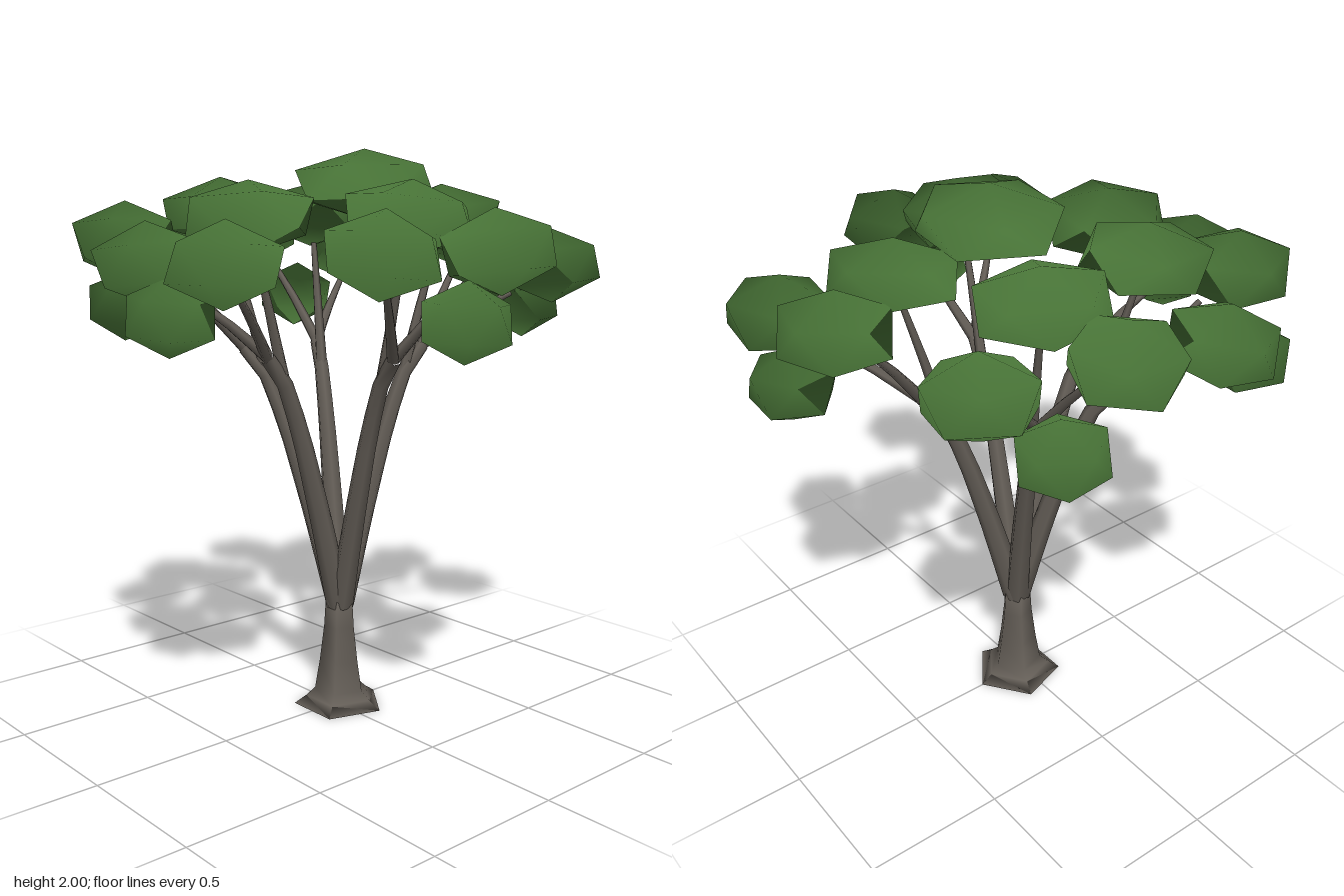
import * as THREE from 'three';
import { mergeVertices } from 'three/addons/utils/BufferGeometryUtils.js';

const bark = new THREE.MeshStandardMaterial({ name: 'bark', color: 0x645e57 });
const leaf = new THREE.MeshStandardMaterial({ name: 'leaf', color: 0x477236 });

const canopyCentre = new THREE.Vector3(0, 1.35, 0);

let seed = 7;
function rand() {
  seed = (seed * 16807) % 2147483647;
  return seed / 2147483647;
}

function addMesh(parent, name, geometry, material) {
  const mesh = new THREE.Mesh(geometry, material);
  mesh.name = name;
  parent.add(mesh);
  return mesh;
}

// Tube that narrows from r0 to r1 along a path with fairly straight stretches
function taperedTube(points, r0, r1, segments, sides) {
  const curve = new THREE.CatmullRomCurve3(points, false, 'catmullrom', 0.25);
  const geo = new THREE.TubeGeometry(curve, segments, 1, sides);
  const pos = geo.attributes.position;
  const v = new THREE.Vector3();
  for (let i = 0; i <= segments; i++) {
    const t = i / segments;
    const centre = curve.getPointAt(t);
    const r = r0 + (r1 - r0) * t;
    for (let j = 0; j <= sides; j++) {
      const k = i * (sides + 1) + j;
      v.fromBufferAttribute(pos, k).sub(centre).multiplyScalar(r).add(centre);
      pos.setXYZ(k, v.x, v.y, v.z);
    }
  }
  return geo;
}

// Flattened icosahedron whose normals fan out from the middle of the canopy
function leafClump(centre, r, h) {
  let geo = new THREE.IcosahedronGeometry(1, 0);
  geo.deleteAttribute('normal');
  geo.deleteAttribute('uv');
  geo = mergeVertices(geo, 1e-3);
  geo.rotateZ(Math.atan(2 / (1 + Math.sqrt(5))));
  geo.rotateY(rand() * Math.PI * 2);
  geo.scale(r, h, r);
  geo.rotateX((rand() - 0.5) * 0.24);
  geo.rotateZ((rand() - 0.5) * 0.24);
  geo.computeVertexNormals();
  geo.translate(centre.x, centre.y, centre.z);
  const pos = geo.attributes.position;
  const nor = geo.attributes.normal;
  const p = new THREE.Vector3();
  const n = new THREE.Vector3();
  for (let i = 0; i < pos.count; i++) {
    p.fromBufferAttribute(pos, i).sub(canopyCentre).normalize();
    n.fromBufferAttribute(nor, i).multiplyScalar(0.25).addScaledVector(p, 0.75).normalize();
    nor.setXYZ(i, n.x, n.y, n.z);
  }
  return geo;
}

// Clump centres of each limb: inner, two outer, low
const limbs = {
  backLimb: [[0.08, 1.77, -0.44], [-0.04, 1.7, -0.72], [0.38, 1.6, -0.69], [0.18, 1.45, -0.77]],
  backRightLimb: [[-0.39, 1.78, -0.22], [-0.53, 1.64, -0.55], [-0.72, 1.71, -0.18], [-0.69, 1.46, -0.38]],
  frontRightLimb: [[-0.33, 1.79, 0.24], [-0.67, 1.615, 0.26], [-0.4, 1.69, 0.59], [-0.57, 1.46, 0.49]],
  frontLimb: [[0.04, 1.77, 0.4], [-0.08, 1.625, 0.7], [0.26, 1.63, 0.66], [0.09, 1.47, 0.74]],
  leftLimb: [[0.42, 1.77, 0.06], [0.69, 1.665, -0.06], [0.61, 1.66, 0.35], [0.73, 1.46, 0.12]],
};

// Size of the clumps by their place on the limb
const clumpKinds = [
  { name: 'innerClump', r: 0.234, h: 0.118 },
  { name: 'outerClump', r: 0.198, h: 0.135 },
  { name: 'outerClump', r: 0.198, h: 0.135 },
  { name: 'lowClump', r: 0.157, h: 0.127 },
];

// Height of a limb's bends and how far out each lies towards the fork
const bends = [[0.38, 0.02], [0.7, 0.27], [1.02, 0.55], [1.22, 0.78], [1.31, 1]];

function buildLimb(name, centres) {
  const limb = new THREE.Group();
  limb.name = name;
  const clumps = centres.map((c) => new THREE.Vector3(...c));

  // Main branch, ending in a fork below the inner clump
  const path = bends.map(([y, out]) =>
    new THREE.Vector3(clumps[0].x * 0.82 * out, y, clumps[0].z * 0.82 * out - 0.02 * (1 - out)));
  const fork = path[4];
  addMesh(limb, 'branch', taperedTube(path, 0.046, 0.025, 8, 6), bark);

  clumps.forEach((centre, i) => {
    const { name: clumpName, r, h } = clumpKinds[i];
    addMesh(limb, clumpName, leafClump(centre, r, h), leaf);
    if (clumpName === 'lowClump') return;

    // Twig into the clump
    const start = i === 0 ? path[3] : fork;
    const end = centre.clone().lerp(fork, 0.3).setY(centre.y - 0.1);
    const mid = start.clone().lerp(end, 0.5);
    mid.y += 0.01;
    addMesh(limb, 'twig', taperedTube([start, mid, end], 0.022, 0.011, 4, 5), bark);
  });
  return limb;
}

export function createModel() {
  const tree = new THREE.Group();
  tree.name = 'tree';

  // Five-sided trunk with a flared foot, closed underneath
  const profile = [[0, 0], [0.168, 0], [0.125, 0.03], [0.092, 0.06], [0.074, 0.17], [0.058, 0.3], [0.052, 0.4], [0, 0.42]];
  const trunk = addMesh(tree, 'trunk',
    new THREE.LatheGeometry(profile.map((p) => new THREE.Vector2(...p)), 5, Math.PI), bark);
  trunk.position.z = -0.02;

  for (const [name, centres] of Object.entries(limbs)) tree.add(buildLimb(name, centres));

  // Crown on top
  addMesh(tree, 'crownClump', leafClump(new THREE.Vector3(0.05, 1.88, -0.09), 0.268, 0.12), leaf);
  return tree;
}
